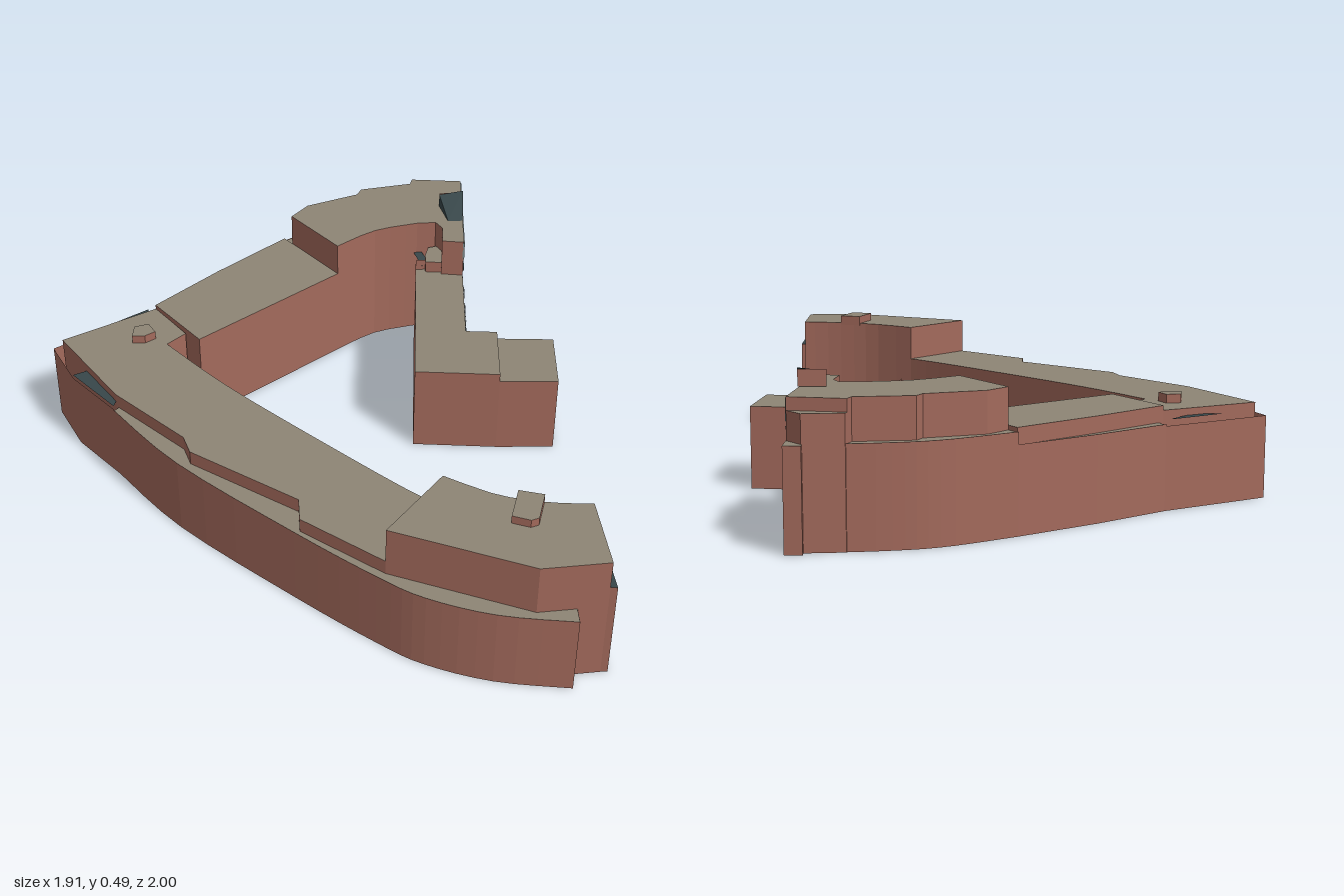
import * as THREE from 'three';

const mat = (name, color) => new THREE.MeshStandardMaterial({ name, color, side: THREE.DoubleSide });
const brick = mat('brick', 0xa36a5c);
const roofing = mat('roofing', 0x8e8575);
const darkGlass = mat('dark glass', 0x38474a);
const paleGlass = mat('pale glass', 0x7c8a8b);
const frameWhite = mat('frame white', 0xc4cacb);

function mesh(name, geometry, material) {
  const m = new THREE.Mesh(geometry, material);
  m.name = name;
  return m;
}

// Vertical wall following a list of [x, z] points
function wall(name, pts, y0, y1, material = brick) {
  const v = [];
  for (let i = 0; i < pts.length - 1; i++) {
    const [ax, az] = pts[i], [bx, bz] = pts[i + 1];
    v.push(ax, y0, az, bx, y0, bz, bx, y1, bz, ax, y0, az, bx, y1, bz, ax, y1, az);
  }
  const g = new THREE.BufferGeometry();
  g.setAttribute('position', new THREE.Float32BufferAttribute(v, 3));
  g.computeVertexNormals();
  return mesh(name, g, material);
}

// Flat horizontal surface over a plan outline
function deck(name, pts, y, material = roofing) {
  const g = new THREE.ShapeGeometry(new THREE.Shape(pts.map(([x, z]) => new THREE.Vector2(x, -z))));
  g.rotateX(-Math.PI / 2).translate(0, y, 0);
  return mesh(name, g, material);
}

// Open-bottomed volume: walls all round and a roof
function block(name, pts, y1, y0 = 0, top = roofing) {
  const g = new THREE.Group();
  g.name = name;
  g.add(wall(name + 'Walls', [...pts, pts[0]], y0, y1), deck(name + 'Roof', pts, y1, top));
  return g;
}

// Smooth plan curve through a few points
const curve = (pts, n = 18) => new THREE.SplineCurve(pts.map(p => new THREE.Vector2(...p)))
  .getPoints(n).map(p => [p.x, p.y]);

export function createModel() {
  const model = new THREE.Group();
  model.name = 'triangularBuilding';

  // South wing: curved court side, stepped street side
  const southInner = curve([[0.425, 0.65], [0.26, 0.575], [-0.13, 0.37], [-0.37, 0.235], [-0.59, 0.09]], 14);
  model.add(block('southWing', [
    ...southInner, [-0.55, 0.02], [-0.69, -0.09], [-0.925, 0.15], [-0.66, 0.38], [-0.39, 0.53],
    [-0.35, 0.59], [0.02, 0.72], [0.045, 0.80], [0.32, 0.91],
  ], 0.302));

  // Outer street wall of the south wing with its ledge
  const southOuter = curve([[-0.66, 0.405], [-0.39, 0.60], [0.03, 0.81], [0.30, 0.93], [0.45, 0.98], [0.65, 0.997], [0.87, 0.97]], 24);
  model.add(wall('southStreetWall', [...southOuter, [0.855, 0.92]], 0, 0.258));
  model.add(deck('southLedge', [...southOuter, [0.85, 0.90], [0.32, 0.86], [0.0, 0.70], [-0.37, 0.52], [-0.64, 0.36]], 0.256));

  // Free-standing walls meeting at the west point
  model.add(wall('westPointWall', [[-0.66, 0.405], [-0.84, 0.285], [-0.96, 0.15], [-0.71, -0.135]], 0, 0.262));
  model.add(deck('southWestSkylight', [[-0.84, 0.285], [-0.79, 0.24], [-0.66, 0.37], [-0.66, 0.405]], 0.275, darkGlass));
  model.add(deck('northWestSkylight', [[-0.85, 0.04], [-0.76, 0.0], [-0.72, -0.10], [-0.725, -0.11]], 0.28, darkGlass));

  // Tall east end of the south wing
  const eastInner = curve([[0.855, 0.665], [0.77, 0.685], [0.67, 0.695], [0.57, 0.69], [0.425, 0.65]], 8);
  model.add(block('eastTower', [...eastInner, [0.32, 0.91], [0.75, 0.96], [0.935, 0.89]], 0.417));
  model.add(block('eastBay', [[0.875, 0.72], [0.893, 0.715], [0.955, 0.885], [0.93, 0.89]], 0.325, 0, darkGlass));
  model.add(block('eastPlantRoom', [[0.645, 0.69], [0.72, 0.69], [0.72, 0.79], [0.70, 0.805], [0.645, 0.80]], 0.443, 0.41));
  model.add(block('westPlantRoom', [[-0.71, 0.06], [-0.67, 0.035], [-0.635, 0.07], [-0.66, 0.10], [-0.70, 0.11]], 0.33, 0.30));

  // North-west wing
  model.add(block('northWing', [[-0.49, 0.06], [-0.15, -0.415], [-0.35, -0.56], [-0.385, -0.585], [-0.55, -0.33], [-0.69, -0.09]], 0.317));

  // Tall north block with rounded court side
  const northInner = curve([[-0.15, -0.415], [-0.05, -0.54], [0.08, -0.62]], 6);
  model.add(block('northTower', [
    ...northInner, [0.14, -0.64], [0.17, -0.61], [0.185, -0.53], [0.258, -0.54], [0.17, -0.93], [0, -0.90],
    [0, -0.87], [-0.16, -0.79], [-0.165, -0.755], [-0.315, -0.64], [-0.35, -0.56],
  ], 0.428));

  // Outer curved street wall and ledge on the north side
  const northOuter = curve([[-0.39, -0.585], [-0.235, -0.765], [-0.10, -0.86], [0.10, -0.96]], 14);
  model.add(wall('northWestStreetWall', [[-0.71, -0.135], [-0.56, -0.36], [-0.39, -0.585]], 0, 0.268));
  model.add(deck('northWestLedge', [[-0.71, -0.135], [-0.56, -0.36], [-0.39, -0.585], [-0.37, -0.55], [-0.53, -0.32], [-0.67, -0.10]], 0.266));
  model.add(wall('northStreetWall', northOuter, 0, 0.305));
  model.add(deck('northLedge', [...northOuter, [0.14, -0.91], [0, -0.86], [-0.14, -0.76], [-0.30, -0.62], [-0.34, -0.55]], 0.303));
  model.add(block('northStair', [[0, -0.915], [0.11, -0.965], [0.17, -0.93], [0, -0.90]], 0.39));
  model.add(block('northPier', [[0.10, -0.985], [0.15, -1.0], [0.172, -0.93], [0.12, -0.93]], 0.305));

  // Wedge skylight on the north tower
  const wedge = new THREE.Group();
  wedge.name = 'roofSkylight';
  const slope = new THREE.BufferGeometry();
  slope.setAttribute('position', new THREE.Float32BufferAttribute([
    0.18, 0.43, -0.655, 0.228, 0.43, -0.67, 0.207, 0.485, -0.775,
    0.18, 0.43, -0.655, 0.207, 0.485, -0.775, 0.13, 0.475, -0.745,
    0.228, 0.43, -0.67, 0.207, 0.43, -0.775, 0.207, 0.485, -0.775,
    0.18, 0.43, -0.655, 0.13, 0.475, -0.745, 0.13, 0.43, -0.745], 3));
  slope.computeVertexNormals();
  wedge.add(mesh('skylightGlass', slope, darkGlass), wall('skylightBack', [[0.207, -0.775], [0.13, -0.745]], 0.43, 0.48));
  model.add(wedge);

  // South-east wing with raised court parapet and low end block
  model.add(block('courtWing', [
    [0.095, -0.535], [0.215, 0.035], [0.48, -0.015], [0.43, -0.24], [0.33, -0.22], [0.258, -0.54], [0.17, -0.56],
  ], 0.295));
  model.add(wall('courtParapet', [[0.17, -0.56], [0.095, -0.535], [0.215, 0.035]], 0.29, 0.333));
  model.add(block('courtWingEnd', [[0.48, -0.015], [0.66, -0.06], [0.61, -0.28], [0.43, -0.24]], 0.268));
  model.add(block('stairHead', [[0.12, -0.57], [0.12, -0.62], [0.16, -0.645], [0.185, -0.62], [0.185, -0.54], [0.13, -0.53]], 0.335));
  model.add(deck('courtSkylight', [[0.065, -0.625], [0.09, -0.635], [0.14, -0.56], [0.115, -0.54]], 0.31, darkGlass));

  // Painted openings on the east facade, given as z range and y range
  const angle = Math.atan2(0.16, 0.71);
  function plate(name, z0, z1, y0, y1, material, t = 0.006) {
    const m = mesh(name, new THREE.BoxGeometry(t, y1 - y0, Math.abs(z1 - z0) / Math.cos(angle)), material);
    const z = (z0 + z1) / 2;
    m.position.set(0.33 + (z + 0.22) * 0.2254, (y0 + y1) / 2, z);
    m.rotation.y = angle;
    model.add(m);
  }
  plate('topGlazing', -0.54, -0.925, 0.358, 0.424, paleGlass);
  plate('entranceGlazing', -0.84, -0.925, 0.0, 0.13, paleGlass);

  // Paired windows in framed columns
  for (const z of [-0.305, -0.365, -0.46]) {
    for (const y of [0.085, 0.145, 0.205, 0.26]) {
      plate('windowFrame', z - 0.02, z + 0.02, y, y + 0.03, frameWhite);
      for (const s of [-0.009, 0.009]) plate('windowPane', z + s - 0.005, z + s + 0.005, y + 0.004, y + 0.024, darkGlass, 0.009);
    }
    plate('groundWindow', z - 0.018, z + 0.018, 0.005, 0.06, darkGlass);
    plate('groundMullion', z - 0.003, z + 0.003, 0.005, 0.06, frameWhite, 0.009);
  }
  for (const y of [0.085, 0.145, 0.205]) plate('narrowWindow', -0.50, -0.53, y, y + 0.022, frameWhite);
  plate('cornerWindow', -0.24, -0.26, 0.265, 0.285, darkGlass);

  // Slot windows on the tower
  for (const y of [0.10, 0.165, 0.235, 0.32, 0.39]) {
    plate('slotWindow', -0.62, -0.69, y, y + 0.008, darkGlass, 0.009);
    plate('slotWindow', -0.77, -0.84, y, y + 0.008, darkGlass, 0.009);
  }
  for (const y of [0.19, 0.23, 0.275, 0.335]) plate('slotWindow', -0.85, -0.92, y, y + 0.008, darkGlass, 0.009);
  for (const y of [0.16, 0.24, 0.31]) plate('slotWindow', -0.545, -0.60, y, y + 0.008, darkGlass, 0.009);
  plate('lowSlot', -0.69, -0.84, 0.025, 0.033, darkGlass, 0.009);

  return model;
}
